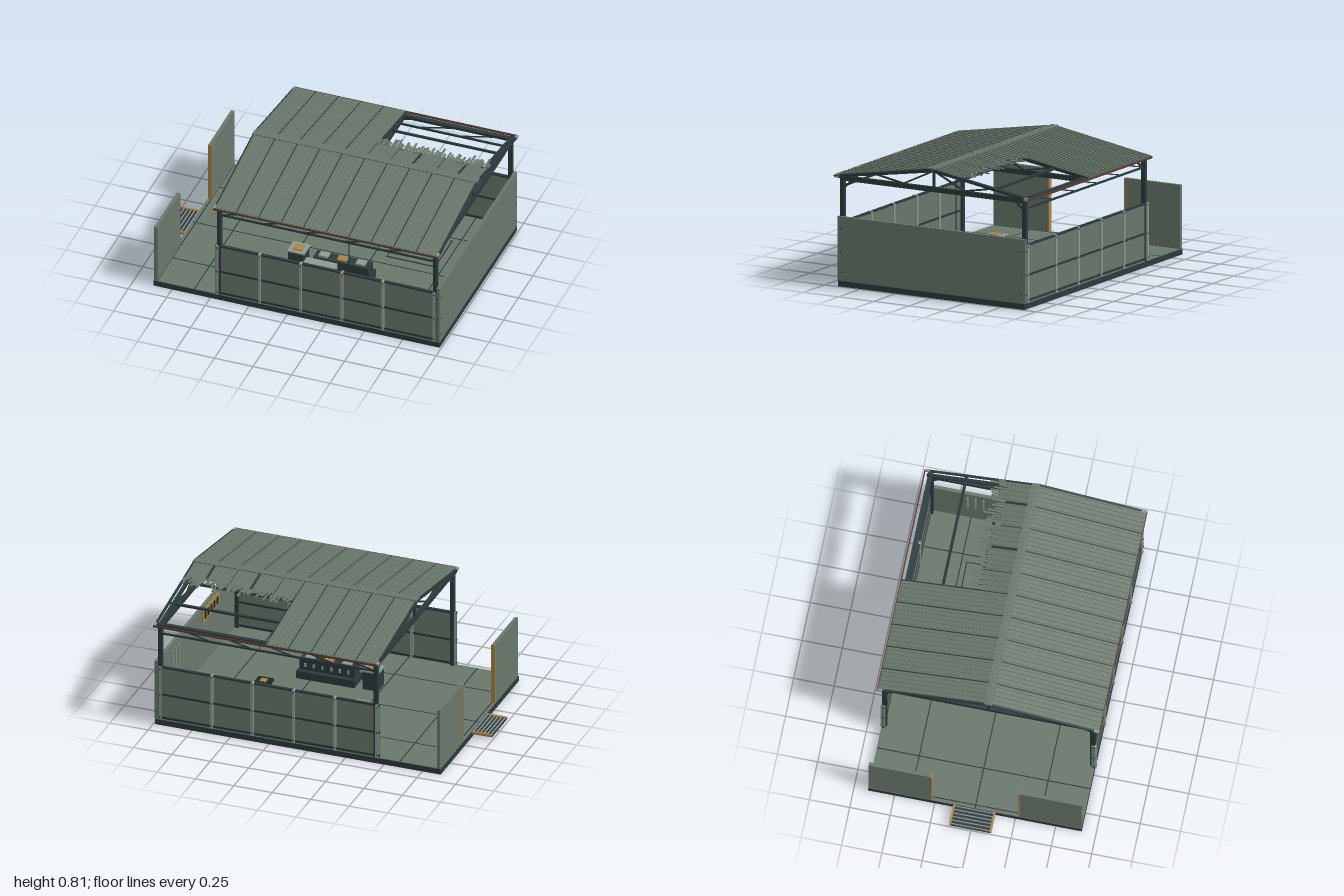
import * as THREE from 'three';

export function createModel() {
  const root = new THREE.Group();
  root.name = 'shelter';
  const mat = (name, color) => {
    const m = new THREE.MeshStandardMaterial({ color });
    m.name = name;
    return m;
  };
  const green = mat('greenPanel', 0x69776c);
  const dark = mat('darkSteel', 0x2b3a3b);
  const light = mat('paleSteel', 0x8f9a93);
  const orange = mat('ochrePaint', 0xa88446);
  const rust = mat('rust', 0x5d4038);
  const black = mat('blackMetal', 0x1b2526);

  const box = (name, m, x, y, z, w, h, d, parent = root) => {
    const mesh = new THREE.Mesh(new THREE.BoxGeometry(w, h, d), m);
    mesh.position.set(x, y, z);
    mesh.name = name;
    parent.add(mesh);
    return mesh;
  };
  const beam = (name, m, a, b, w = 0.015, h = w) => {
    const A = new THREE.Vector3(...a), B = new THREE.Vector3(...b);
    const mesh = box(name, m, 0, 0, 0, w, h, A.distanceTo(B));
    mesh.position.copy(A).add(B).multiplyScalar(0.5);
    mesh.lookAt(B);
    return mesh;
  };
  let seed = 7;
  const rand = () => (seed = (seed * 16807) % 2147483647) / 2147483647;

  // Floor slab, its tiled top and joints
  box('floorBase', dark, 0.06, 0.0175, 0, 1.86, 0.035, 1.324);
  box('floorTop', green, 0.06, 0.0365, 0, 1.855, 0.005, 1.32);
  for (const x of [-0.845, -0.603, -0.16, 0.287, 0.73]) box('floorJoint', dark, x, 0.039, 0, 0.007, 0.002, 1.32);
  for (const z of [-0.4, 0, 0.4]) box('floorJoint', dark, 0.06, 0.039, z, 1.85, 0.002, 0.007);

  // Entry grating
  const grate = new THREE.Group();
  grate.name = 'entryGrating';
  root.add(grate);
  box('gratingPan', dark, -0.932, 0.026, -0.004, 0.136, 0.008, 0.25, grate);
  for (const s of [-1, 1]) box('gratingEdge', orange, -0.932, 0.031, -0.004 + s * 0.125, 0.136, 0.016, 0.012, grate);
  for (let i = 0; i < 6; i++) box('gratingBar', light, -0.99 + i * 0.023, 0.034, -0.004, 0.005, 0.008, 0.24, grate);

  // Entry walls with painted door edges
  for (const s of [-1, 1]) {
    box('entryWall', green, -0.855, 0.237, s * 0.466, 0.022, 0.396, 0.388);
    box('doorEdge', orange, -0.855, 0.237, s * 0.27, 0.026, 0.396, 0.008);
  }

  // Solid end wall with bolts
  box('endWall', green, 0.98, 0.237, 0, 0.02, 0.396, 1.33);
  for (const z of [-0.64, 0.64]) for (const y of [0.09, 0.21, 0.36]) {
    box('wallBolt', dark, 0.991, y, z, 0.004, 0.007, 0.007);
    box('sideBolt', dark, 0.98, y, Math.sign(z) * 0.667, 0.007, 0.007, 0.005);
  }

  // Long side walls: panels, rails, pale posts
  for (const s of [-1, 1]) {
    box('sideWall', green, 0.255, 0.217, s * 0.652, 1.45, 0.356, 0.01);
    for (const [y, h] of [[0.052, 0.014], [0.21, 0.013], [0.394, 0.01]])
      box('wallRail', dark, 0.255, y, s * 0.652, 1.45, h, 0.02);
    for (const x of [-0.455, -0.18, 0.087, 0.355, 0.62, 0.955]) {
      box('wallPost', light, x, 0.22, s * 0.654, 0.017, 0.36, 0.03);
      for (const y of [0.06, 0.21, 0.385]) box('postBolt', dark, x, y, s * 0.67, 0.007, 0.007, 0.003);
    }
  }

  // Columns, eave beams and lattice bracing
  for (const s of [-1, 1]) {
    for (const x of [-0.445, 0.957]) {
      box('column', dark, x, 0.36, s * 0.645, 0.024, 0.65, 0.03);
      beam('kneeBrace', dark, [x, 0.615, s * 0.635], [x, 0.662, s * 0.575], 0.012);
    }
    box('eaveBeam', dark, 0.255, 0.68, s * 0.65, 1.45, 0.018, 0.03);
    box('braceRail', dark, 0.255, 0.62, s * 0.645, 1.4, 0.011, 0.011);
    for (let i = 0; i < 5; i++) {
      const x = -0.445 + i * 0.267;
      beam('braceDiagonal', dark, [x, 0.62, s * 0.645], [x + 0.23, 0.672, s * 0.645], 0.007);
    }
  }

  // Roof trusses
  for (const x of [-0.445, 0.253, 0.957]) {
    box('trussTie', dark, x, 0.67, 0, 0.022, 0.03, 1.3);
    box('kingPost', dark, x, 0.735, 0, 0.014, 0.11, 0.013);
    for (const s of [-1, 1]) {
      beam('trussRafter', dark, [x, 0.786, 0], [x, 0.681, s * 0.67], 0.02, 0.018);
      beam('trussWeb', dark, [x, 0.785, 0], [x, 0.683, s * 0.215], 0.01);
      beam('trussWeb', dark, [x, 0.683, s * 0.215], [x, 0.722, s * 0.43], 0.01);
    }
  }

  // Roof covering; u is the horizontal distance from the ridge
  const slope = 0.166, half = 0.685;
  const roofY = u => 0.801 - u * Math.tan(slope);
  const onSlope = (name, m, s, x, u0, u1, w, h, lift = 0, tilt = slope) => {
    const u = (u0 + u1) / 2;
    const mesh = box(name, m, x, roofY(u) + lift, s * u, w, h, (u1 - u0) / Math.cos(tilt));
    mesh.rotation.x = s * tilt;
    return mesh;
  };
  const pitch = 0.146, x0 = -0.47, boltRows = [0.205, 0.43, 0.65];
  for (const s of [-1, 1]) {
    for (const u of [0.03, 0.205, 0.43, 0.65]) onSlope('purlin', dark, s, 0.26, u - 0.008, u + 0.008, 1.44, 0.012, -0.012);
    for (let i = 0; i < 10; i++) {
      if (s < 0 && i > 4) continue;
      const x = x0 + pitch * (i + 0.5);
      onSlope('roofSheet', green, s, x, 0, half, pitch - 0.008, 0.006);
      onSlope('roofSeam', dark, s, x + pitch / 2, 0, half, 0.01, 0.004, -0.001);
      for (let k = 0; k < 5; k++) {
        const rx = x + (k - 2) * 0.028;
        onSlope('roofRib', green, s, rx, 0, half, 0.009, 0.008, 0.005);
        if (k % 2 === 0) for (const u of boltRows) onSlope('roofBolt', light, s, rx, u - 0.003, u + 0.003, 0.006, 0.004, 0.01);
      }
    }
    onSlope('eaveTrim', rust, s, 0.26, half, half + 0.006, 1.46, 0.014, -0.003);
    for (const x of [-0.464, 0.984]) {
      onSlope('gableTrim', dark, s, x, 0, half, 0.012, 0.014, -0.004);
      onSlope('trimEnd', light, s, x, 0.655, half, 0.014, 0.018, -0.004);
    }
  }
  box('ridgeCap', green, 0.26, 0.803, 0, 1.46, 0.01, 0.05);

  // Torn sheets over the opening, with curled tips
  const strips = 44, sw = 0.725 / strips;
  for (let i = 0; i < strips; i++) {
    const x = 0.262 + (i + 0.5) * sw, end = 0.16 + rand() * 0.05, tip = 0.03 + rand() * 0.06;
    onSlope('tornSheet', i % 9 === 8 ? dark : green, -1, x, 0, end, sw * 0.97, 0.006);
    onSlope('tornTip', green, -1, x, end - 0.004, end + tip, sw * 0.75, 0.005, 0.003 + rand() * 0.012, rand() * 0.14 - 0.06);
    if (i % 2 === 0) onSlope('tornRib', green, -1, x, 0, end, 0.009, 0.008, 0.005);
  }

  // Hanging lamp and its cable
  box('lamp', orange, 0.252, 0.64, 0.267, 0.065, 0.03, 0.082);
  box('lampCable', dark, 0.252, 0.33, 0.267, 0.005, 0.6, 0.005);

  // Control console
  box('consoleBase', dark, 0.19, 0.065, 0.2, 0.38, 0.05, 0.12);
  box('consoleBody', dark, 0.19, 0.12, 0.21, 0.36, 0.08, 0.08);
  for (let i = 0; i < 6; i++) box('consolePanel', light, 0.05 + i * 0.056, 0.125, 0.168, 0.014, 0.025, 0.006);
  for (let i = 0; i < 3; i++) box('consoleTop', i === 1 ? orange : light, 0.07 + i * 0.12, 0.165, 0.21, 0.06, 0.012, 0.05);

  // Generator, crate and cabinets
  box('generatorBase', dark, 0.08, 0.06, 0.33, 0.22, 0.04, 0.13);
  box('generatorBody', light, 0.08, 0.125, 0.33, 0.2, 0.09, 0.11);
  for (let i = 0; i < 5; i++) box('generatorVent', black, 0.01 + i * 0.035, 0.125, 0.387, 0.012, 0.05, 0.005);
  box('crate', dark, -0.1, 0.1, 0.2, 0.1, 0.12, 0.1);
  box('crateLid', light, -0.1, 0.164, 0.2, 0.11, 0.01, 0.11);
  box('cratePlate', orange, -0.1, 0.172, 0.2, 0.06, 0.008, 0.06);
  box('cabinet', green, -0.19, 0.095, -0.24, 0.09, 0.11, 0.09);
  box('cabinetTop', light, -0.19, 0.153, -0.24, 0.096, 0.007, 0.096);
  box('stand', dark, 0.46, 0.1, -0.2, 0.08, 0.12, 0.08);
  box('standTop', black, 0.46, 0.166, -0.2, 0.1, 0.012, 0.1);
  box('standPlate', orange, 0.46, 0.175, -0.2, 0.04, 0.008, 0.04);

  // Floor hatch
  box('hatchFrame', dark, 0.525, 0.041, -0.22, 0.32, 0.003, 0.3);
  box('hatchPanel', green, 0.525, 0.043, -0.22, 0.305, 0.004, 0.285);

  // Slotted board and pale pipes on the end wall
  box('wallBoard', orange, 0.966, 0.375, 0.22, 0.008, 0.085, 0.28);
  for (let i = 0; i < 5; i++) box('boardSlot', black, 0.961, 0.375, 0.12 + i * 0.05, 0.004, 0.05, 0.022);
  for (let i = 0; i < 3; i++) box('wallPipe', light, 0.964, 0.31, -0.42 + i * 0.05, 0.01, 0.16, 0.01);

  return root;
}
